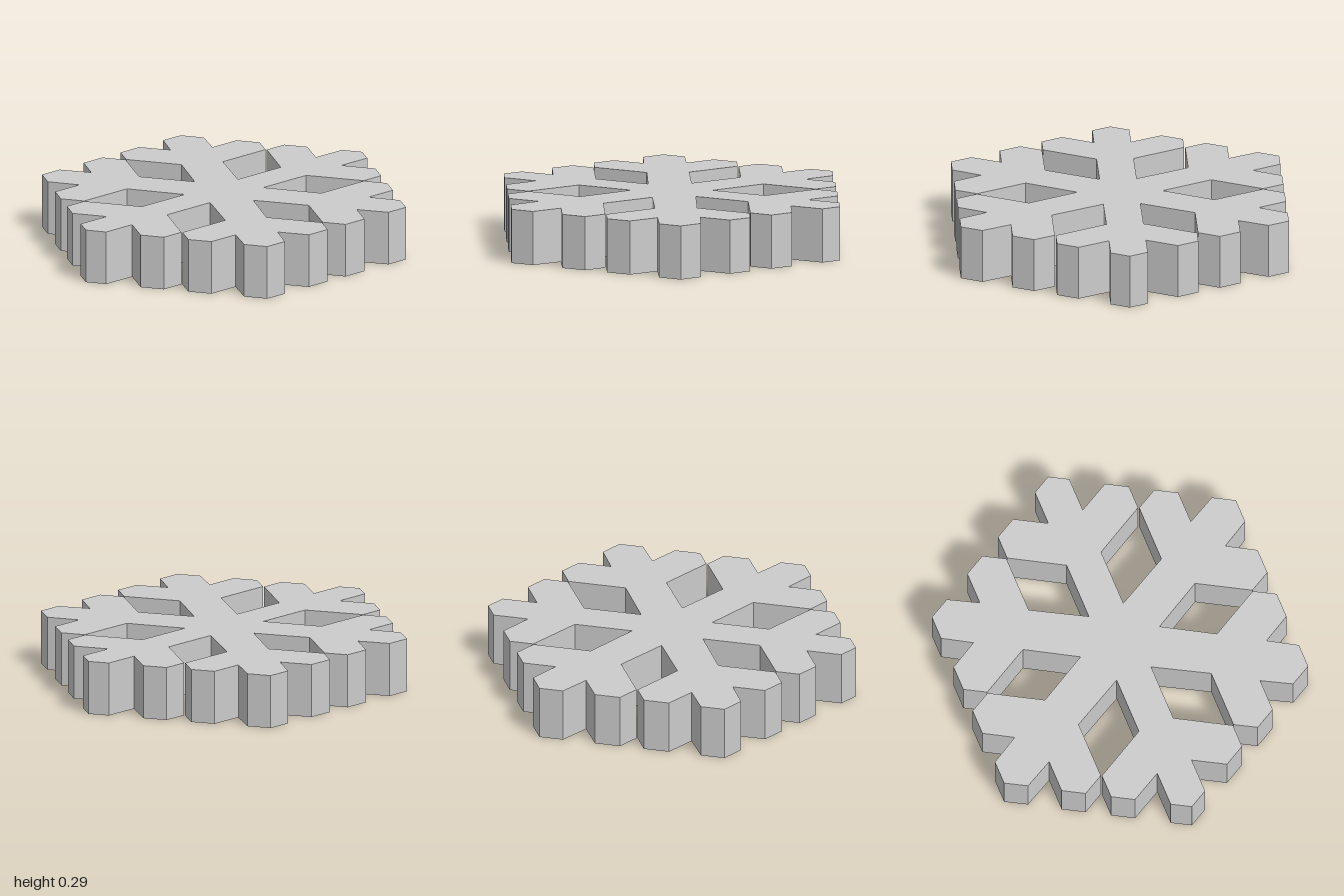
import * as THREE from 'three';

export function createModel() {
  const height = 0.288;

  // One quarter of the outline, from the tip of the straight arm to the side valley
  const quarter = [
    // straight arm: tip, notch, side branch, shaft
    [0, 1], [0.098, 0.945], [0.098, 0.758], [0.262, 0.85], [0.373, 0.787],
    [0.373, 0.66], [0.098, 0.503], [0.098, 0.193],
    // diagonal arm: upper branch, tip, lower branch
    [0.378, 0.347], [0.378, 0.657], [0.49, 0.72], [0.601, 0.657], [0.601, 0.482],
    [0.755, 0.565], [0.866, 0.503], [0.866, 0.375], [0.717, 0.287],
    [0.866, 0.201], [0.866, 0.065], [0.755, 0.003], [0.49, 0.153], [0.225, 0],
  ];

  // Mirror to a half, then to the whole outline
  const half = [...quarter, ...quarter.slice(0, -1).reverse().map(([x, y]) => [x, -y])];
  const full = [...half, ...half.slice(1, -1).reverse().map(([x, y]) => [-x, y])];

  const shape = new THREE.Shape(full.map(([x, y]) => new THREE.Vector2(x, y)));
  const geometry = new THREE.ExtrudeGeometry(shape, { depth: height, bevelEnabled: false });
  geometry.rotateX(-Math.PI / 2);

  const snowflake = new THREE.Mesh(
    geometry,
    new THREE.MeshStandardMaterial({ color: 0xcccccc, flatShading: true })
  );
  snowflake.name = 'snowflake';

  const group = new THREE.Group();
  group.name = 'snowflakeModel';
  group.add(snowflake);
  return group;
}
